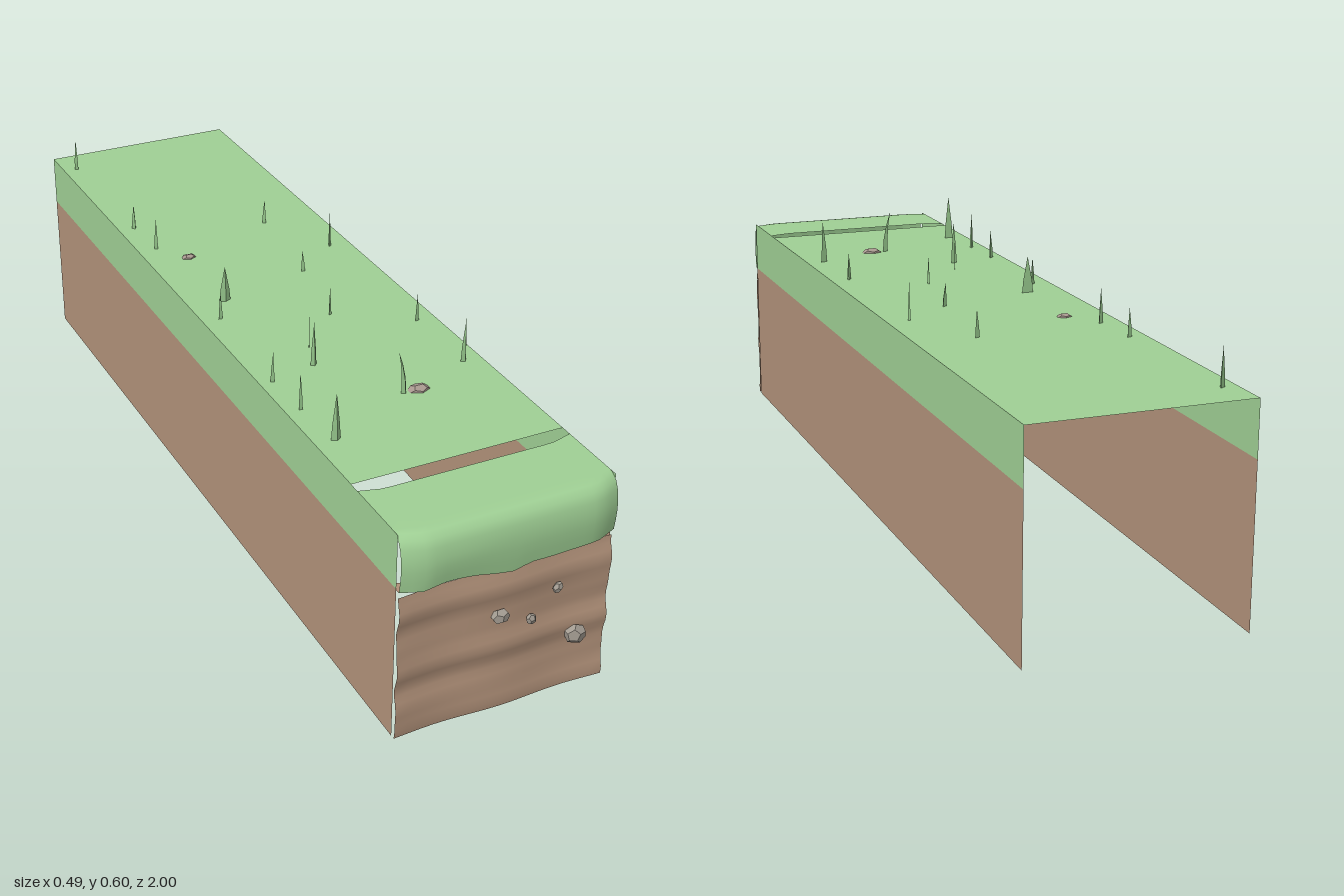
import * as THREE from 'three';

const W = 0.245, TOP = 0.49, SPLIT = 0.365, BACK = -1, SIDE_END = 0.963;

const flat = (name, color, extra = {}) => {
  const m = new THREE.MeshStandardMaterial({ color, side: THREE.DoubleSide, ...extra });
  m.name = name;
  return m;
};

// Smooth sheet from a rule (u, v) -> [x, y, z]
function sheet(cols, rows, rule) {
  const pos = [], index = [];
  for (let j = 0; j <= rows; j++)
    for (let i = 0; i <= cols; i++) pos.push(...rule(i / cols, j / rows));
  for (let j = 0; j < rows; j++)
    for (let i = 0; i < cols; i++) {
      const a = j * (cols + 1) + i, b = a + 1, c = a + cols + 1, d = c + 1;
      index.push(a, c, b, b, c, d);
    }
  const g = new THREE.BufferGeometry();
  g.setAttribute('position', new THREE.Float32BufferAttribute(pos, 3));
  g.setIndex(index);
  g.computeVertexNormals();
  return g;
}

// Linear lookup in a short list of [x, value] pairs
function lookup(list, x) {
  for (let i = 1; i < list.length; i++) {
    const [x0, y0] = list[i - 1], [x1, y1] = list[i];
    if (x <= x1) return y0 + (y1 - y0) * (x - x0) / (x1 - x0);
  }
  return list[list.length - 1][1];
}

// Tapered three-sided grass blade whose tip leans sideways
function bladeGeometry(width, height, depth, lean) {
  const g = new THREE.CylinderGeometry(0.0005, 0.5, 1, 3, 3, true);
  const p = g.attributes.position;
  for (let i = 0; i < p.count; i++) {
    const t = p.getY(i) + 0.5;
    const swell = 1 + 0.9 * t * (1 - t);
    p.setXYZ(i, p.getX(i) * width * 1.15 * swell + lean * t * t, t * height, p.getZ(i) * depth * swell);
  }
  g.computeVertexNormals();
  return g;
}

export function createModel() {
  const root = new THREE.Group();
  root.name = 'grassyGroundBlock';
  const grass = flat('grassGreen', 0x9fcf94);
  const dirt = flat('dirtBrown', 0xb2927a);
  const blade = flat('bladeGreen', 0x94c48a, { flatShading: true });
  const stone = flat('stoneGrey', 0xa39c92, { flatShading: true });
  const pebble = flat('pebbleGrey', 0xa8988f, { flatShading: true });

  const add = (name, geometry, material) => {
    const m = new THREE.Mesh(geometry, material);
    m.name = name;
    root.add(m);
    return m;
  };

  // Flat turf on top
  add('turfTop', sheet(1, 1, (u, v) => [(u * 2 - 1) * W, TOP, BACK + v * (0.77 - BACK)]), grass);

  // Side walls: dirt below, turf band above
  for (const s of [-1, 1]) {
    const wall = (y0, y1) => sheet(1, 1, (u, v) =>
      [s * W, y1 + (y0 - y1) * v, s > 0 ? SIDE_END + u * (BACK - SIDE_END) : BACK + u * (SIDE_END - BACK)]);
    const label = s > 0 ? 'left' : 'right';
    add(label + 'DirtWall', wall(0, SPLIT), dirt);
    add(label + 'TurfBand', wall(SPLIT, TOP), grass);
  }

  // Overhanging turf lip with a wavy lower edge
  const edge = [[-0.245, 0.363], [-0.2, 0.364], [-0.165, 0.373], [-0.13, 0.373], [-0.08, 0.367],
    [-0.04, 0.357], [0, 0.351], [0.04, 0.361], [0.08, 0.36], [0.15, 0.362], [0.245, 0.365]];
  const setBack = x => Math.max(0, (Math.abs(x) - 0.195) / 0.05) * 0.02;
  const lipProfile = [[0.81, TOP], [0.9, TOP], [0.955, TOP], [0.972, 0.487], [0.986, 0.477], [0.994, 0.46], [0.999, 0.435]];
  const rows = lipProfile.length + 2;
  add('turfLip', sheet(22, rows, (u, v) => {
    const x = (u * 2 - 1) * W, j = Math.round(v * rows), n = lipProfile.length;
    const back = setBack(x) * (j < 3 ? 0.7 : 1);
    if (j < n) return [x, lipProfile[j][1], lipProfile[j][0] - back];
    const t = (j - n + 1) / 3;
    return [x, 0.435 + (lookup(edge, x) - 0.435) * t, 1 - 0.006 * t * t - back];
  }), grass);

  // Dirt underside of the lip
  add('lipUnderside', sheet(22, 1, (u, v) => {
    const x = (u * 2 - 1) * W;
    return [x, lookup(edge, x) - 0.004 * v, 0.994 - 0.04 * v - setBack(x)];
  }), dirt);

  // Gently rippled front dirt face
  add('frontDirtFace', sheet(16, 20, (u, v) => {
    const x = (u * 2 - 1) * W, y = 0.348 * (1 - v);
    const z = 0.972 + 0.004 * Math.sin(y * 48 + x * 3) + 0.003 * Math.cos(x * 22) + 0.002 * Math.sin(y * 85 + 1);
    return [x, y, z];
  }), dirt);

  // Stones set into the front face: x, y, radius
  [[-0.014, 0.235, 0.02], [0.118, 0.264, 0.0125], [0.06, 0.204, 0.0125], [0.171, 0.129, 0.025]]
    .forEach(([x, y, r], i) => {
      const m = add('wallStone' + (i + 1), new THREE.DodecahedronGeometry(r), stone);
      m.position.set(x, y, 0.979);
      m.scale.set(1.05, 0.92, 0.65);
      m.rotation.z = i * 0.9;
    });

  // Flat pebbles on the turf
  [[-0.145, -0.29, 0.018, 0.008], [0.053, 0.505, 0.026, 0.011]].forEach(([x, z, r, h], i) => {
    const m = add('turfPebble' + (i + 1), new THREE.DodecahedronGeometry(1), pebble);
    m.position.set(x, TOP, z);
    m.scale.set(r, h, r * 0.75);
  });

  // Grass blades: x, z, width, height, lean, turn
  [
    [-0.21, -0.91, 0.014, 0.085, 0, 0.5], [-0.205, -0.5, 0.012, 0.065, 0, 0.3],
    [-0.197, -0.37, 0.012, 0.08, 0, 0.4], [0.104, -0.39, 0.012, 0.063, 0, 0.3],
    [0.192, -0.2, 0.007, 0.09, 0, 1.4], [0.075, -0.105, 0.012, 0.058, -0.007, 0.5],
    [-0.156, -0.045, 0.028, 0.087, 0, 0], [-0.2, 0.03, 0.014, 0.065, 0, 0.7],
    [0.033, 0.12, 0.007, 0.07, -0.003, 1.2], [-0.078, 0.24, 0.002, 0.095, 0, 0],
    [0.2, 0.23, 0.016, 0.065, 0, 0.9], [-0.103, 0.315, 0.015, 0.105, 0, 0.1],
    [-0.214, 0.34, 0.012, 0.07, 0.003, 0.6], [0.202, 0.44, 0.017, 0.105, 0.002, 0.3],
    [-0.21, 0.47, 0.01, 0.09, -0.002, 0.8], [0.018, 0.505, 0.014, 0.105, -0.018, 0.2],
    [-0.197, 0.61, 0.022, 0.11, 0, 0],
  ].forEach(([x, z, w, h, lean, turn], i) => {
    const m = add('grassBlade' + (i + 1), bladeGeometry(w, h, Math.min(w, 0.009), lean), blade);
    m.position.set(x, TOP, z);
    m.rotation.y = turn;
  });

  return root;
}
